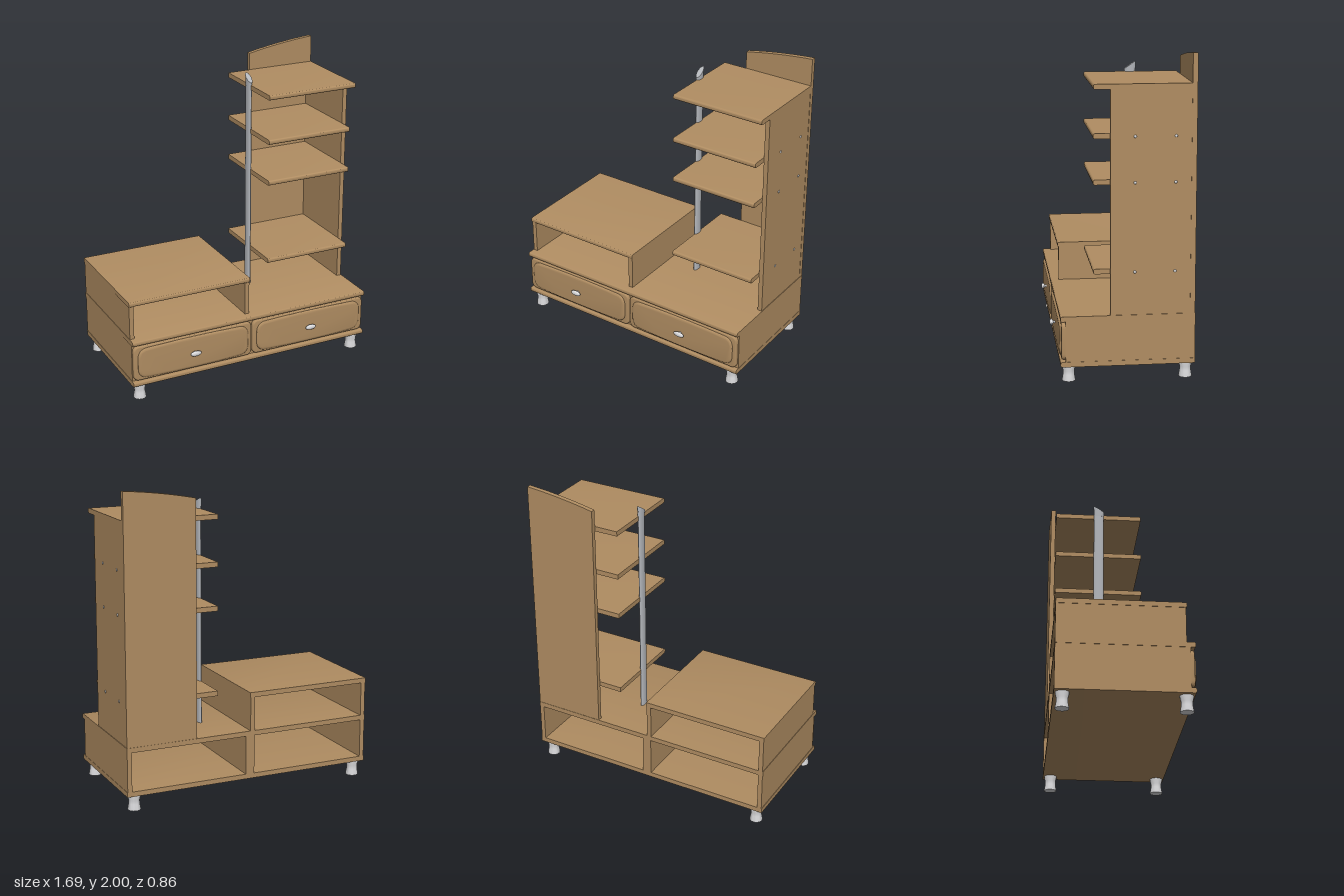
import * as THREE from 'three';
import { toCreasedNormals } from 'three/addons/utils/BufferGeometryUtils.js';

export function createModel() {
  const root = new THREE.Group();
  root.name = 'wallUnit';
  const mat = (name, color) => {
    const m = new THREE.MeshStandardMaterial({ color });
    m.name = name;
    return m;
  };
  const wood = mat('wood', 0xb08d62);
  const metal = mat('lightMetal', 0xdcdcde);
  const steel = mat('steel', 0xb4b7bc);

  const add = (name, geometry, material, parent = root) => {
    const mesh = new THREE.Mesh(geometry, material);
    mesh.name = name;
    parent.add(mesh);
    return mesh;
  };

  // Square-edged panel given by its extents
  const panel = (name, x0, x1, y0, y1, z0, z1) => {
    const g = new THREE.BoxGeometry(x1 - x0, y1 - y0, z1 - z0);
    g.translate((x0 + x1) / 2, (y0 + y1) / 2, (z0 + z1) / 2);
    return add(name, g, wood);
  };

  // Horizontal board with a rounded front edge
  const board = (name, x0, x1, y0, y1, z0, z1) => {
    const r = (y1 - y0) * 0.4;
    const s = new THREE.Shape();
    s.moveTo(z0, y0);
    s.lineTo(z1 - r, y0);
    s.quadraticCurveTo(z1, y0, z1, y0 + r);
    s.lineTo(z1, y1 - r);
    s.quadraticCurveTo(z1, y1, z1 - r, y1);
    s.lineTo(z0, y1);
    s.closePath();
    const g = new THREE.ExtrudeGeometry(s, { depth: x1 - x0, bevelEnabled: false, curveSegments: 5 });
    g.rotateY(-Math.PI / 2);
    g.translate(x1, 0, 0);
    return add(name, toCreasedNormals(g, 0.6), wood);
  };

  // Low cabinet, open at the back
  const T = 0.03;
  board('cabinetBottom', -0.845, 0.842, 0.10, 0.132, -0.43, 0.393);
  board('cabinetTop', -0.845, 0.842, 0.386, 0.418, -0.43, 0.393);
  panel('cabinetSideRight', -0.842, -0.842 + T, 0.132, 0.386, -0.43, 0.362);
  panel('cabinetSideLeft', 0.84 - T, 0.84, 0.132, 0.386, -0.43, 0.362);
  panel('cabinetDivider', -0.03, 0.03, 0.132, 0.386, -0.43, 0.362);

  // Open box on the cabinet
  board('boxTop', -0.845, 0, 0.64, 0.672, -0.43, 0.347);
  panel('boxSideRight', -0.842, -0.842 + T, 0.418, 0.64, -0.43, 0.34);
  panel('boxSideLeft', -0.033, -0.003, 0.418, 0.64, -0.43, 0.34);

  // Drawer fronts: rounded slab, bulged centre and oval knob
  const roundedRect = (w, h, r, bow) => {
    const s = new THREE.Shape();
    s.moveTo(-w + r, -h);
    s.quadraticCurveTo(0, -h - bow, w - r, -h);
    s.quadraticCurveTo(w, -h, w, -h + r);
    s.lineTo(w, h - r);
    s.quadraticCurveTo(w, h, w - r, h);
    s.quadraticCurveTo(0, h + bow, -w + r, h);
    s.quadraticCurveTo(-w, h, -w, h - r);
    s.lineTo(-w, -h + r);
    s.quadraticCurveTo(-w, -h, -w + r, -h);
    return s;
  };
  for (const [label, cx] of [['right', -0.422], ['left', 0.418]]) {
    const drawer = new THREE.Group();
    drawer.name = label + 'Drawer';
    drawer.position.set(cx, 0.258, 0);
    root.add(drawer);
    const slab = new THREE.ExtrudeGeometry(roundedRect(0.406, 0.11, 0.03, 0), {
      depth: 0.012, bevelThickness: 0.011, bevelSize: 0.01, bevelSegments: 4, curveSegments: 6
    });
    slab.translate(0, 0, 0.363);
    add('drawerFront', toCreasedNormals(slab, 0.6), wood, drawer);
    const bulge = new THREE.ExtrudeGeometry(roundedRect(0.37, 0.086, 0.05, 0.012), {
      depth: 0.012, bevelThickness: 0.01, bevelSize: 0.018, bevelSegments: 4, curveSegments: 8
    });
    bulge.translate(0, 0, 0.375);
    add('drawerBulge', toCreasedNormals(bulge, 0.8), wood, drawer);
    const stem = new THREE.CylinderGeometry(0.007, 0.009, 0.03, 16);
    stem.rotateX(Math.PI / 2);
    stem.translate(0, 0, 0.408);
    add('knobStem', stem, metal, drawer);
    const knob = new THREE.SphereGeometry(1, 24, 14);
    knob.scale(0.038, 0.018, 0.012);
    knob.translate(0, 0, 0.419);
    add('knob', knob, metal, drawer);
  }

  // Waisted feet
  const footProfile = [[0, 0], [0.041, 0], [0.041, 0.006], [0.035, 0.04], [0.035, 0.065],
    [0.041, 0.09], [0.041, 0.1], [0, 0.1]].map(([x, y]) => new THREE.Vector2(x, y));
  const foot = toCreasedNormals(new THREE.LatheGeometry(footProfile, 28), 0.6);
  for (const x of [-0.785, 0.78]) {
    for (const z of [-0.38, 0.34]) add('foot', foot, metal).position.set(x, 0, z);
  }

  // Tall side panel and curved-top back panel
  panel('towerSide', 0.808, 0.838, 0.418, 1.79, -0.397, 0.09);
  const back = new THREE.Shape();
  back.moveTo(0.37, 0.418);
  back.lineTo(0.84, 0.418);
  back.lineTo(0.84, 2);
  back.quadraticCurveTo(0.6, 1.982, 0.37, 1.934);
  back.closePath();
  const backGeo = new THREE.ExtrudeGeometry(back, { depth: 0.031, bevelEnabled: false, curveSegments: 10 });
  backGeo.translate(0, 0, -0.428);
  add('towerBack', backGeo, wood);

  // Shelves and the screw caps that hold them
  board('topShelf', 0.212, 0.84, 1.79, 1.822, -0.397, 0.19);
  const cap = new THREE.SphereGeometry(0.009, 12, 8);
  cap.scale(0.6, 1, 1);
  for (const y of [0.685, 1.232, 1.51]) {
    board('shelf', 0.212, 0.808, y - 0.016, y + 0.016, -0.397, 0.19);
    for (const z of [-0.058, -0.302]) add('screwCap', cap, metal).position.set(0.838, y, z);
  }

  // Oval pole with a slanted cap
  const pole = new THREE.CylinderGeometry(1, 1, 1.41, 28);
  pole.scale(0.014, 1, 0.034);
  pole.translate(0.213, 1.123, -0.103);
  add('pole', pole, steel);
  const tip = new THREE.CylinderGeometry(1, 0.9, 0.08, 28);
  tip.scale(0.018, 1, 0.037);
  const p = tip.attributes.position;
  for (let i = 0; i < p.count; i++) {
    if (p.getY(i) > 0) p.setY(i, 0.04 - (p.getZ(i) + 0.037) * 0.68);
  }
  tip.translate(0.213, 1.85, -0.103);
  add('poleCap', toCreasedNormals(tip, 0.6), steel);

  return root;
}
